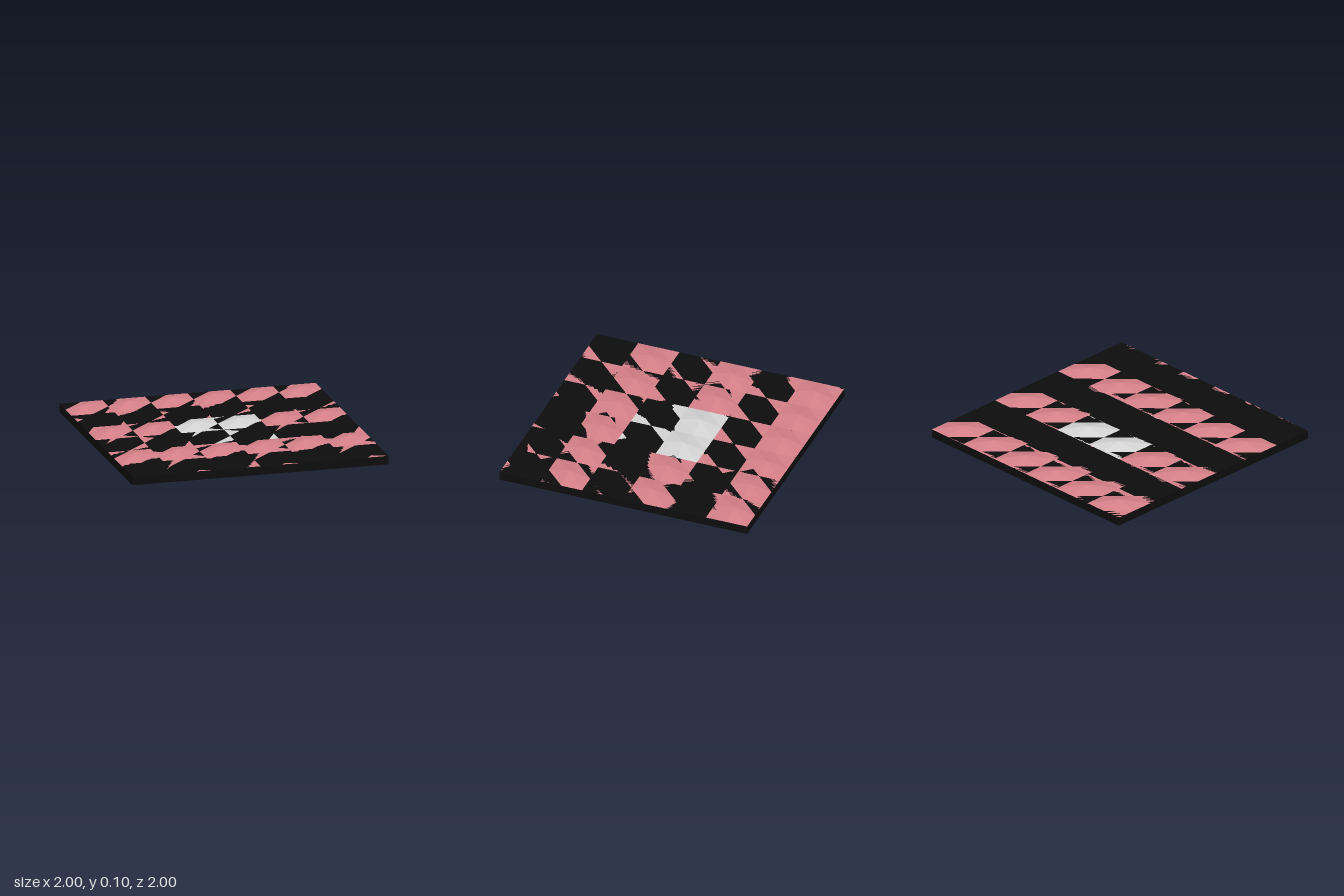
import * as THREE from 'three';

const CELLS = 6;          // tiles per side
const TILE = 2 / CELLS;   // tile width
const BASE = 1 / 15;      // slab thickness
const BUMP = 1 / 30;      // peak height of a tile

const slabMaterial = new THREE.MeshStandardMaterial({ name: 'black slab', color: 0x0d0d0d });
const pinkMaterial = new THREE.MeshStandardMaterial({
  name: 'pink tile', color: 0xd68089, flatShading: true, side: THREE.DoubleSide });
const whiteMaterial = new THREE.MeshStandardMaterial({
  name: 'white tile', color: 0xd4d4d4, flatShading: true, side: THREE.DoubleSide });

// A 2 x 2 patch whose middle vertex is raised or sunk
function tileGeometry(height) {
  const geometry = new THREE.PlaneGeometry(TILE, TILE, 2, 2).rotateX(-Math.PI / 2);
  const position = geometry.attributes.position;
  for (let i = 0; i < position.count; i++) position.setY(i, i === 4 ? height : 0);
  geometry.computeVertexNormals();
  return geometry;
}

export function createModel() {
  const model = new THREE.Group();
  model.name = 'tiledPanel';

  // Flat square slab
  const slab = new THREE.Mesh(new THREE.BoxGeometry(2, BASE, 2), slabMaterial);
  slab.name = 'slab';
  slab.position.y = BASE / 2;
  model.add(slab);

  // Rows alternate between peaks and hollows; the four middle tiles are white
  const peak = tileGeometry(BUMP);
  const hollow = tileGeometry(-BUMP);
  const isMiddle = (i) => i === 2 || i === 3;
  for (let row = 0; row < CELLS; row++) {
    for (let column = 0; column < CELLS; column++) {
      const white = isMiddle(row) && isMiddle(column);
      const tile = new THREE.Mesh(row % 2 ? hollow : peak, white ? whiteMaterial : pinkMaterial);
      tile.name = row % 2 ? 'hollowTile' : 'peakTile';
      tile.position.set(-1 + (column + 0.5) * TILE, BASE, -1 + (row + 0.5) * TILE);
      model.add(tile);
    }
  }
  return model;
}
